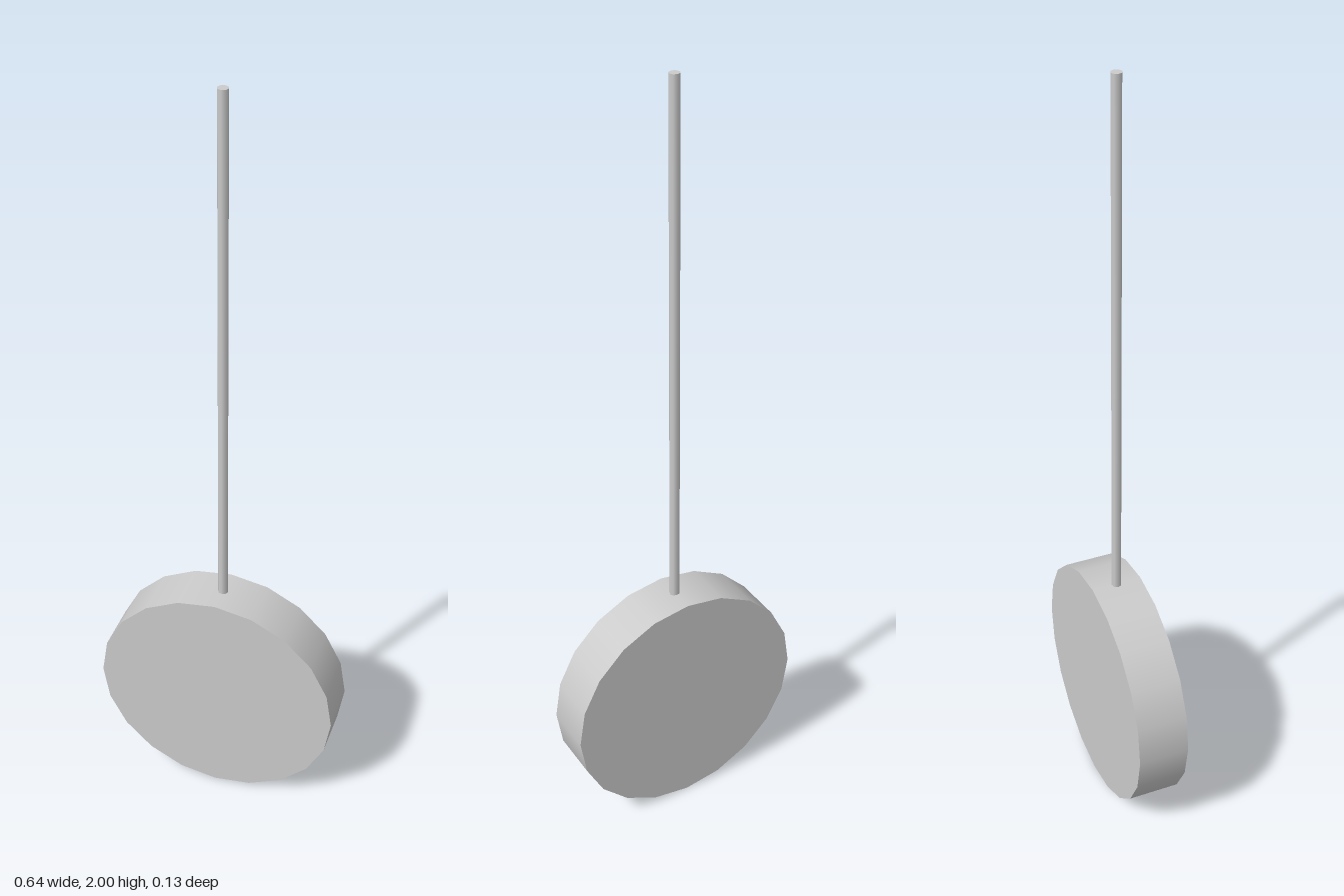
import * as THREE from 'three';

export function createModel() {
  const group = new THREE.Group();
  const material = new THREE.MeshStandardMaterial({ color: 0xcccccc });
  const radius = 0.32;
  const height = 2;

  const add = (name, geometry, y) => {
    const mesh = new THREE.Mesh(geometry, material);
    mesh.name = name;
    mesh.position.y = y;
    group.add(mesh);
  };

  // Round weight, its flat faces towards front and back
  const bob = new THREE.CylinderGeometry(radius, radius, 0.132, 20);
  bob.rotateX(Math.PI / 2);
  add('pendulumBob', bob, radius);

  // Thin rod, its foot just sunk into the rim of the weight
  const foot = 2 * radius - 0.01;
  const rod = new THREE.CylinderGeometry(0.013, 0.013, height - foot, 8);
  add('pendulumRod', rod, (height + foot) / 2);

  return group;
}
